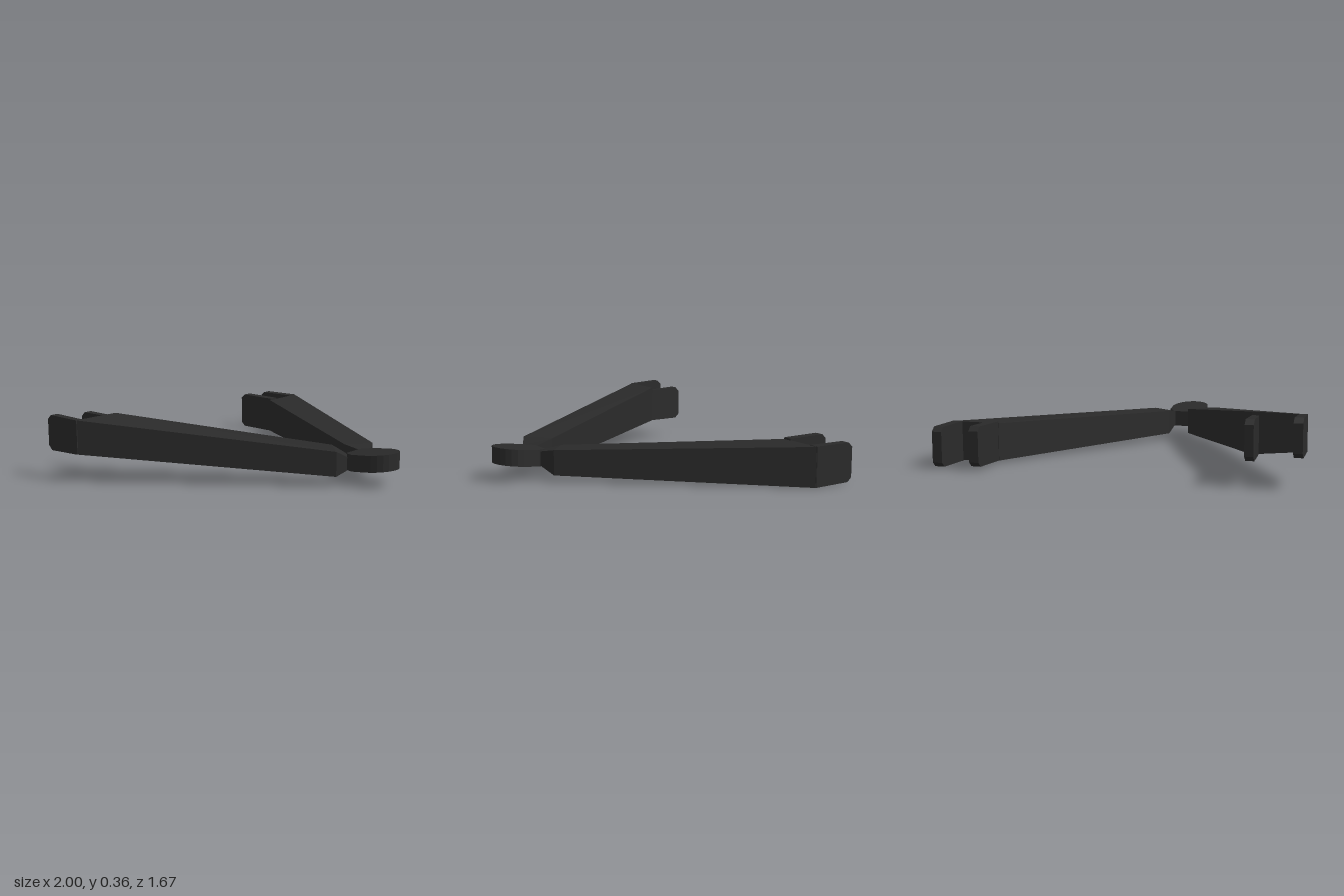
import * as THREE from 'three';

const material = new THREE.MeshStandardMaterial({ color: 0x2a2a2a, flatShading: true });

// Closed skin through a row of four-cornered cross-sections
function loft(sections, name) {
  const pos = [];
  const quad = (a, b, c, d) => [a, b, c, a, c, d].forEach(p => pos.push(...p));
  for (let s = 0; s < sections.length - 1; s++) {
    const A = sections[s], B = sections[s + 1];
    for (let i = 0; i < 4; i++) quad(A[i], A[(i + 1) % 4], B[(i + 1) % 4], B[i]);
  }
  const F = sections[0], L = sections.at(-1);
  quad(F[3], F[2], F[1], F[0]);
  quad(L[0], L[1], L[2], L[3]);

  // Turn the faces outwards when the signed volume is negative
  const v = i => new THREE.Vector3(pos[i], pos[i + 1], pos[i + 2]);
  let volume = 0;
  for (let i = 0; i < pos.length; i += 9) volume += v(i).dot(v(i + 3).cross(v(i + 6)));
  if (volume < 0) {
    for (let i = 0; i < pos.length; i += 9)
      for (let k = 3; k < 6; k++) [pos[i + k], pos[i + k + 3]] = [pos[i + k + 3], pos[i + k]];
  }
  const geo = new THREE.BufferGeometry();
  geo.setAttribute('position', new THREE.Float32BufferAttribute(pos, 3));
  geo.computeVertexNormals();
  const mesh = new THREE.Mesh(geo, material);
  mesh.name = name;
  return mesh;
}

// Section from an inner and an outer edge, each [x, z, bottom, top]
const section = ([xi, zi, bi, ti], [xo, zo, bo, to]) =>
  [[xi, bi, zi], [xo, bo, zo], [xo, to, zo], [xi, to, zi]];

// Flat fork prong with clipped corners at its end
function prong(name, [x0, x1, z0, b0, t0], [x2, x3, z1, b1, t1]) {
  const c = 0.025;
  const sec = (a, b, z, lo, hi) => section([a, z, lo, hi], [b, z, lo, hi]);
  return loft([
    sec(x0, x1, z0, b0, t0),
    sec(x2, x3, z1 + c, b1, t1),
    sec(x2, x3, z1, b1 + c, t1 - c)
  ], name);
}

function arm(name, sections, inner, outer) {
  const g = new THREE.Group();
  g.name = name;
  g.add(loft(sections.map(s => section(...s)), name + 'Beam'));
  g.add(prong(name + 'InnerProng', ...inner), prong(name + 'OuterProng', ...outer));
  return g;
}

// Rounded pivot with a flat back, tilted up a little towards the front
function pivot() {
  const shape = new THREE.Shape();
  shape.moveTo(0.055, -0.55);
  shape.lineTo(-0.075, -0.55);
  shape.lineTo(-0.115, -0.61);
  const n = 12;
  for (let i = 0; i <= n; i++) {
    const a = Math.PI + (i / n) * Math.PI;
    shape.lineTo(-0.01 + 0.112 * Math.cos(a), -0.7 + 0.135 * Math.sin(a));
  }
  shape.lineTo(0.095, -0.61);
  const geo = new THREE.ExtrudeGeometry(shape, { depth: 0.093, bevelEnabled: false });
  geo.rotateX(-Math.PI / 2);
  const p = geo.attributes.position;
  for (let i = 0; i < p.count; i++) p.setY(i, p.getY(i) + 0.08 + (p.getZ(i) - 0.6) * 0.1);
  geo.computeVertexNormals();
  const mesh = new THREE.Mesh(geo, material);
  mesh.name = 'pivot';
  return mesh;
}

export function createModel() {
  const model = new THREE.Group();
  model.name = 'hingedForkArms';
  model.add(pivot());

  // Low arm on the left
  model.add(arm('leftArm', [
    [[0.045, 0.56, 0.085, 0.165], [0.095, 0.6, 0.085, 0.165]],
    [[0.055, 0.45, 0.04, 0.18], [0.18, 0.56, 0.042, 0.182]],
    [[0.72, -0.59, 0.018, 0.237], [1, -0.59, 0.005, 0.227]]
  ],
  [[0.722, 0.778, -0.585, 0.018, 0.237], [0.72, 0.775, -0.835, 0.025, 0.243]],
  [[0.942, 0.998, -0.585, 0.005, 0.229], [0.937, 0.993, -0.835, 0.012, 0.23]]));

  // Raised arm on the right
  model.add(arm('rightArm', [
    [[-0.07, 0.55, 0.09, 0.165], [-0.14, 0.6, 0.09, 0.165]],
    [[-0.067, 0.45, 0.048, 0.2], [-0.2, 0.57, 0.062, 0.2]],
    [[-0.7, -0.59, 0.135, 0.337], [-0.985, -0.6, 0.165, 0.355]]
  ],
  [[-0.702, -0.738, -0.585, 0.135, 0.337], [-0.712, -0.758, -0.805, 0.137, 0.345]],
  [[-0.945, -0.987, -0.595, 0.165, 0.355], [-0.953, -1, -0.81, 0.167, 0.365]]));

  return model;
}
